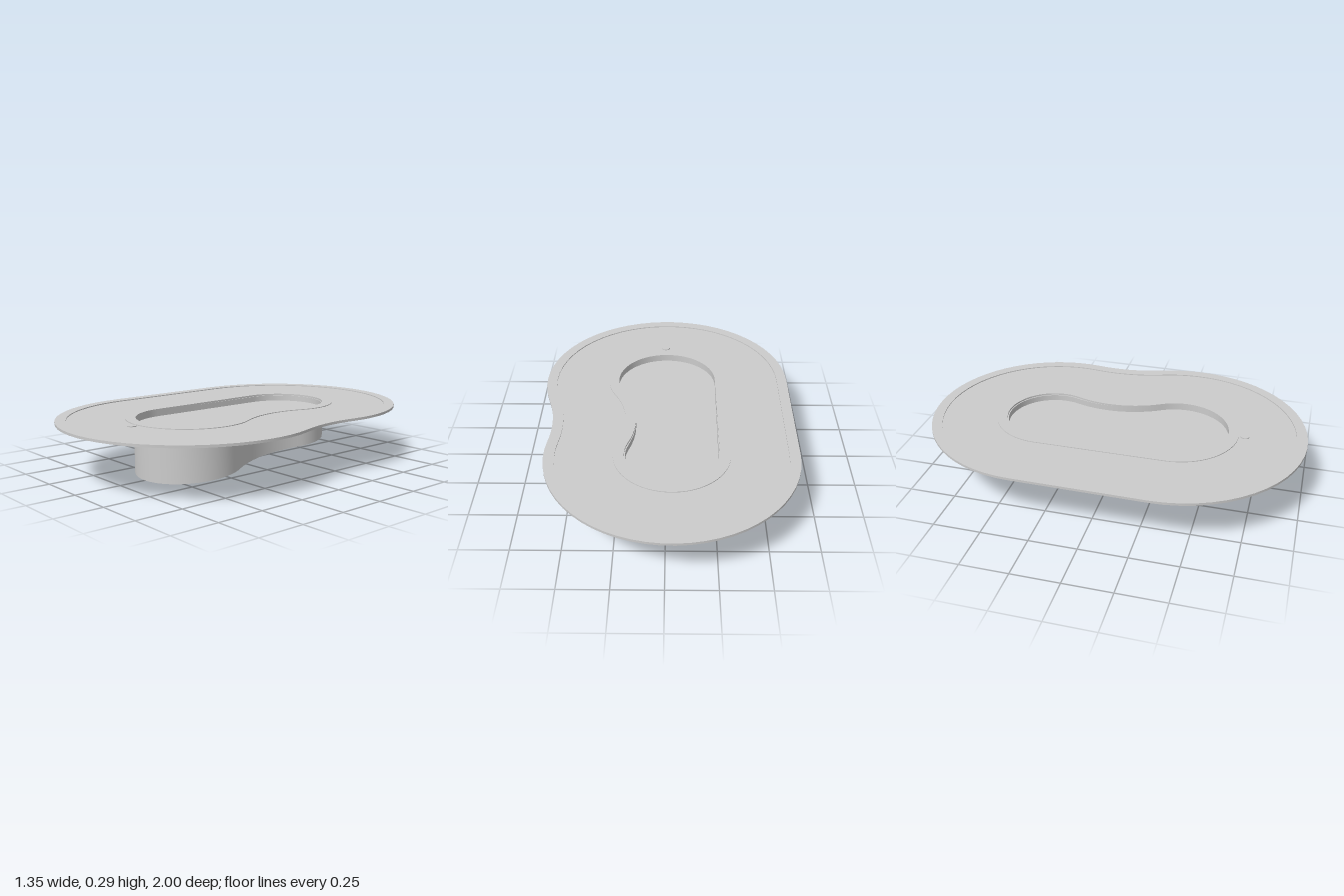
import * as THREE from 'three';
import { toCreasedNormals } from 'three/addons/utils/BufferGeometryUtils.js';

const material = new THREE.MeshStandardMaterial({ color: 0xcccccc, side: THREE.DoubleSide });

// Kidney outline: back circle r1, front circle r2, straight left side,
// and a concave arc on the right whose innermost x is `waist`.
const BACK = { x: -0.03, z: -0.36 };
const FRONT = { x: 0, z: 0.325 };

function kidney(r1, r2, waist) {
  // half-chords from the concave arc's centre to both circles
  const chord = (c, r, R) => Math.sqrt(Math.max(0, (r + R) ** 2 - (waist + R - c.x) ** 2));
  let lo = 0.01, hi = 5;
  for (let i = 0; i < 50; i++) {
    const R = (lo + hi) / 2;
    if (chord(BACK, r1, R) + chord(FRONT, r2, R) < FRONT.z - BACK.z) lo = R;
    else hi = R;
  }
  const R = lo;
  const C = { x: waist + R, z: BACK.z + chord(BACK, r1, R) };
  const a1 = Math.atan2(C.z - BACK.z, C.x - BACK.x);
  const a2 = Math.atan2(C.z - FRONT.z, C.x - FRONT.x);
  const points = [];
  const arc = (c, r, from, to, n, first = 0) => {
    for (let i = first; i <= n; i++) {
      const t = from + (to - from) * i / n;
      points.push(new THREE.Vector2(c.x + r * Math.cos(t), -(c.z + r * Math.sin(t))));
    }
  };
  arc(BACK, r1, Math.PI, 2 * Math.PI + a1, 32);
  arc(C, R, Math.PI + a1, Math.PI + a2, 16, 1);
  arc(FRONT, r2, a2, Math.PI, 32, 1);
  return points;
}

// Horizontal slab between two heights, optionally with a hole
function slab(outline, hole, y0, y1) {
  const shape = new THREE.Shape(outline);
  if (hole) shape.holes.push(new THREE.Path(hole));
  const geo = new THREE.ExtrudeGeometry(shape, { depth: y1 - y0, bevelEnabled: false });
  geo.rotateX(-Math.PI / 2);
  geo.translate(0, y0, 0);
  return geo;
}

// Basin floor height: deep at the front, shallow at the back
const floorY = z => 0.005 + (0.605 - z) * 0.083;

function slopeBottom(geo, thickness) {
  const p = geo.attributes.position;
  for (let i = 0; i < p.count; i++) {
    const y = p.getY(i);
    if (thickness !== undefined) p.setY(i, floorY(p.getZ(i)) + (y > 0.001 ? thickness : 0));
    else if (y < 0.001) p.setY(i, floorY(p.getZ(i)));
  }
  return geo;
}

export function createModel() {
  const model = new THREE.Group();
  const add = (name, geo, parent = model) => {
    const mesh = new THREE.Mesh(toCreasedNormals(geo, 0.6), material);
    mesh.name = name;
    parent.add(mesh);
    return mesh;
  };

  const rimOuter = kidney(0.64, 0.675, 0.595);
  const rimInner = kidney(0.585, 0.62, 0.54);
  const copingOuter = kidney(0.295, 0.325, 0.215);
  const copingInner = kidney(0.24, 0.27, 0.16);
  const wallOuter = kidney(0.242, 0.28, 0.167);
  const wallInner = kidney(0.234, 0.272, 0.159);

  // Paving around the pool
  add('deckRim', slab(rimOuter, rimInner, 0.285, 0.298));
  add('deck', slab(rimInner, copingOuter, 0.288, 0.293));
  add('coping', slab(copingOuter, copingInner, 0.288, 0.297));

  // Basin with sloping floor, and the water in it
  add('basinWall', slopeBottom(slab(wallOuter, wallInner, 0, 0.288)));
  add('basinFloor', slopeBottom(slab(wallInner, null, 0, 0.01), 0.006));
  const water = new THREE.ShapeGeometry(new THREE.Shape(wallInner));
  water.rotateX(-Math.PI / 2);
  add('water', water).position.y = 0.257;

  // Skimmer: throat behind the front wall and lid in the deck
  const skimmer = new THREE.Group();
  skimmer.name = 'skimmer';
  skimmer.position.set(0.008, 0.218, 0.628);
  model.add(skimmer);
  add('skimmerThroat', new THREE.BoxGeometry(0.04, 0.013, 0.054), skimmer);
  for (const side of [-1, 1])
    add('skimmerCheek', new THREE.BoxGeometry(0.011, 0.022, 0.054), skimmer).position.x = side * 0.0195;
  add('skimmerLid', new THREE.CylinderGeometry(0.024, 0.024, 0.008, 24)).position.set(0.01, 0.294, 0.68);

  // Main drain, lying in the sloping floor
  const drain = add('mainDrain', new THREE.CylinderGeometry(0.016, 0.016, 0.012, 20));
  drain.position.set(-0.03, floorY(0.34) + 0.003, 0.34);
  drain.rotation.x = Math.atan(0.083);

  // Fitting through the wall at the waist
  const fitting = add('wallFitting', new THREE.CylinderGeometry(0.013, 0.013, 0.018, 20));
  fitting.position.set(0.165, 0.17, -0.05);
  fitting.rotation.z = Math.PI / 2;

  return model;
}
